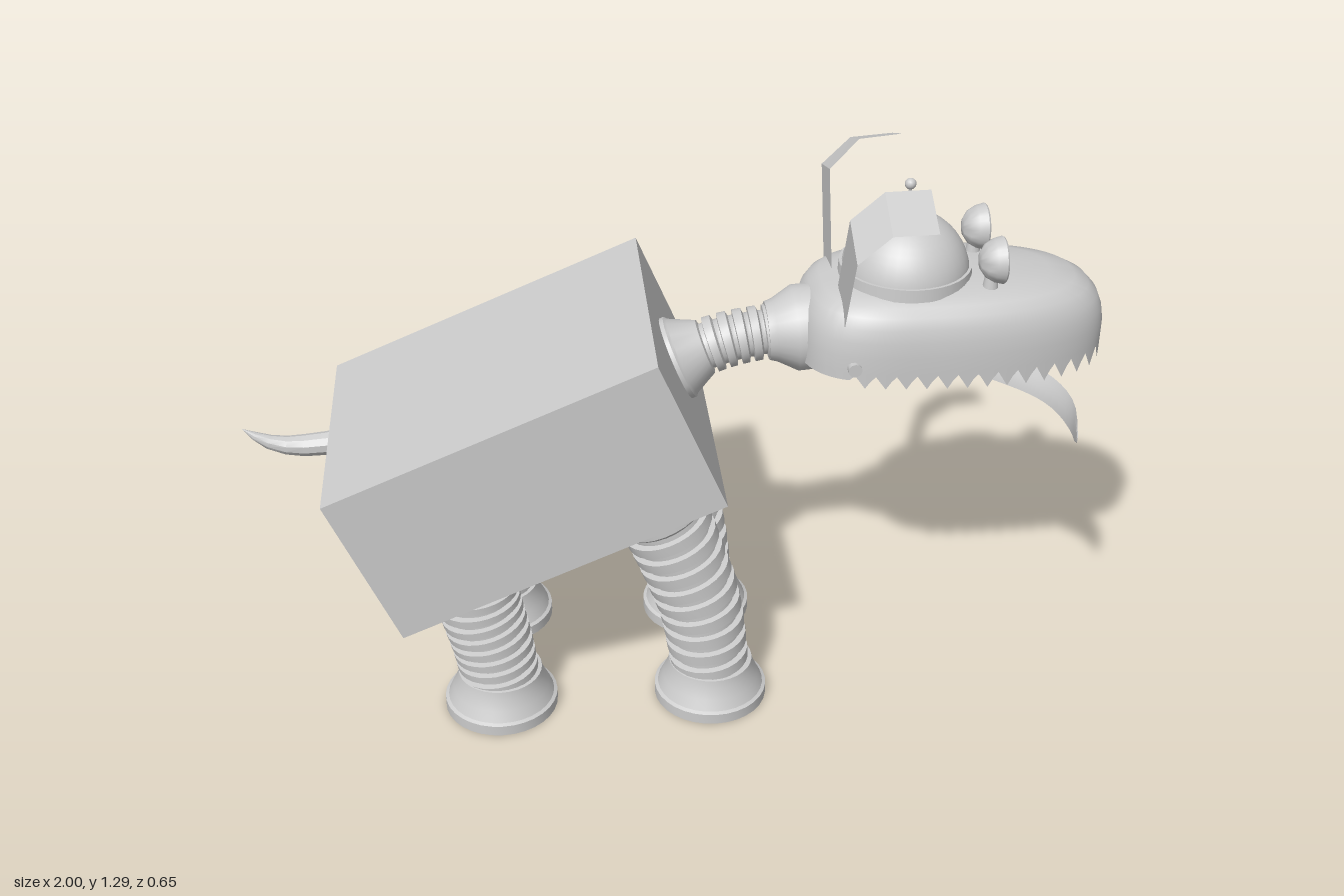
import * as THREE from 'three';
import { toCreasedNormals } from 'three/addons/utils/BufferGeometryUtils.js';

const V = (x, y, z = 0) => new THREE.Vector3(x, y, z);
const solid = new THREE.MeshStandardMaterial({ color: 0xcccccc });
const sheet = new THREE.MeshStandardMaterial({ color: 0xcccccc, side: THREE.DoubleSide });

// Skin a list of equally long point rows
function skin(rows, crease = 0.6) {
  const n = rows[0].length, index = [];
  for (let i = 0; i < rows.length - 1; i++) {
    for (let j = 0; j < n - 1; j++) {
      const a = i * n + j, b = a + n;
      index.push(a, a + 1, b, a + 1, b + 1, b);
    }
  }
  const g = new THREE.BufferGeometry().setFromPoints(rows.flat());
  g.setIndex(index);
  return toCreasedNormals(g, crease);
}

// Round sections along a path in the xy plane; profile is [t, radius] pairs
function loft(points, profile, sides = 28) {
  const curve = new THREE.CatmullRomCurve3(points);
  return skin(profile.map(([t, r]) => {
    const c = curve.getPointAt(t), d = curve.getTangentAt(t);
    return Array.from({ length: sides + 1 }, (_, j) => {
      const a = (j / sides) * Math.PI * 2;
      return V(c.x - d.y * r * Math.cos(a), c.y + d.x * r * Math.cos(a), c.z + r * Math.sin(a));
    });
  }));
}

// Stepped bands of a flexible hose
function bands(count, t0, t1, r0, r1, groove) {
  const out = [];
  const step = (t1 - t0) / count;
  for (let i = 0; i < count; i++) {
    const t = t0 + i * step, r = r0 + (r1 - r0) * (i / count);
    out.push([t, r - groove], [t + step * 0.25, r - groove], [t + step * 0.3, r],
      [t + step * 0.85, r * 0.99], [t + step * 0.97, r - groove]);
  }
  return out;
}

export function createModel() {
  const model = new THREE.Group();
  const add = (name, geometry, pos = [0, 0, 0], material = solid, parent = model) => {
    const mesh = new THREE.Mesh(geometry, material);
    mesh.name = name;
    mesh.position.set(...pos);
    parent.add(mesh);
    return mesh;
  };

  // Tilted box body
  add('body', new THREE.BoxGeometry(0.805, 0.395, 0.64), [-0.355, 0.64, -0.005]).rotation.z = 0.402;

  // Hose legs with flared feet
  const footGeo = toCreasedNormals(new THREE.LatheGeometry([[0, 0], [0.135, 0], [0.135, 0.026], [0.127, 0.03],
    [0.115, 0.055], [0.104, 0.08], [0.1, 0.1], [0.07, 0.105]].map(p => new THREE.Vector2(...p)), 32), 0.5);
  const legs = [
    { name: 'frontLeg', foot: 0.072, zs: [0.187, -0.163], count: 9, r: 0.105,
      path: [V(-0.055, 0.55), V(-0.005, 0.42), V(0.045, 0.26), V(0.072, 0.08)] },
    { name: 'rearLeg', foot: -0.435, zs: [0.183, -0.175], count: 8, r: 0.1,
      path: [V(-0.485, 0.38), V(-0.475, 0.3), V(-0.45, 0.18), V(-0.435, 0.08)] },
  ];
  for (const { name, foot, zs, count, r, path } of legs) {
    const hose = loft(path, [[0, r + 0.01], [0.04, r + 0.01], [0.06, r],
      ...bands(count, 0.08, 0.98, r, 0.094, 0.014), [1, 0.085]]);
    for (const z of zs) {
      const leg = new THREE.Group();
      leg.name = name;
      leg.position.z = z;
      model.add(leg);
      add(name + 'Hose', hose, [0, 0, 0], sheet, leg);
      add(name + 'Foot', footGeo, [foot, 0, 0], solid, leg);
    }
  }

  // Neck: flared base, hose and collar
  const zc = -0.01;
  add('neck', loft([V(-0.005, 0.813), V(0.085, 0.85), V(0.15, 0.868), V(0.27, 0.885)],
    [[0, 0.1], [0.08, 0.1], [0.1, 0.093], [0.3, 0.065], ...bands(6, 0.31, 0.99, 0.066, 0.062, 0.012)]),
    [0, 0, zc], sheet);
  add('collar', loft([V(0.215, 0.88), V(0.345, 0.89)],
    [[0, 0.001], [0.01, 0.068], [0.15, 0.074], [0.5, 0.1], [0.98, 0.1], [1, 0.001]]), [0, 0, zc], sheet);

  // Head shell: plan outline stacked in layers, open below, toothed rim
  const outline = new THREE.CatmullRomCurve3(Array.from({ length: 64 }, (_, i) => {
    const a = (i / 64) * Math.PI * 2, c = Math.cos(a), s = Math.sin(a), n = c > 0 ? 2.4 : 3;
    return V(0.55 + (c > 0 ? 0.447 : 0.265) * Math.sign(c) * Math.abs(c) ** (2 / n), 0,
      -0.2 * Math.sign(s) * Math.abs(s) ** (2 / n));
  }), true).getSpacedPoints(160);
  const layer = (y, s) => outline.map(p => V(0.58 + (p.x - 0.58) * s, y, p.z * s));
  const teeth = outline.map((p, i) => V(p.x, p.x < 0.38 ? 0.842 :
    0.855 - [0, 0.5, 1, 0.4][i % 4] * (0.03 + 0.02 * (p.x - 0.38)) - 0.012 * Math.max(0, p.x - 0.5), p.z));
  add('headShell', skin([teeth, layer(0.86, 1), layer(0.9, 1), layer(0.935, 0.985), layer(0.965, 0.955),
    layer(0.99, 0.9), layer(1.008, 0.82), layer(1.02, 0.68), layer(1.028, 0.45), layer(1.03, 0)], 0.8),
    [0, 0, zc], sheet);
  for (const s of [1, -1]) {
    add('jawBolt', new THREE.CylinderGeometry(0.016, 0.016, 0.03, 12), [0.39, 0.873, zc + s * 0.18]).rotation.x = Math.PI / 2;
  }

  // Round skull with base ring
  add('skull', new THREE.SphereGeometry(0.147, 36, 24), [0.53, 1.018, zc]);
  add('skullRing', new THREE.CylinderGeometry(0.151, 0.153, 0.03, 36), [0.53, 1.03, zc]);

  // Antenna
  add('antennaStem', new THREE.CylinderGeometry(0.004, 0.005, 0.08, 10), [0.53, 1.195, zc]);
  add('antennaFoot', new THREE.CylinderGeometry(0.008, 0.014, 0.015, 16), [0.53, 1.168, zc]);
  add('antennaLargeDisc', new THREE.CylinderGeometry(0.029, 0.029, 0.004, 20), [0.53, 1.19, zc]);
  add('antennaSmallDisc', new THREE.CylinderGeometry(0.016, 0.016, 0.004, 20), [0.53, 1.208, zc]);
  add('antennaBall', new THREE.SphereGeometry(0.013, 14, 10), [0.53, 1.235, zc]);

  // Half-round eyes with rimmed flat faces
  const eyeGeo = toCreasedNormals(new THREE.LatheGeometry([[0, -0.053], [0.02, -0.05], [0.038, -0.038], [0.049, -0.02],
    [0.054, 0], [0.051, 0.004], [0.043, 0.004], [0.041, -0.004], [0, -0.004]].map(p => new THREE.Vector2(...p)), 28), 0.6);
  for (const z of [0.09, -0.087]) {
    add('eye', eyeGeo, [0.727, 1.087, z], sheet).rotation.z = -Math.PI / 2;
    add('eyeStem', new THREE.CylinderGeometry(0.013, 0.02, 0.05, 14), [0.705, 1.03, z]);
  }

  // Folded sheet ears, each row an outer and an inner corner
  add('leftEar', skin([
    [V(0.367, 0.965, 0.153), V(0.367, 1.02, 0.047)], [V(0.367, 1.17, 0.255), V(0.367, 1.225, 0.147)],
    [V(0.44, 1.233, 0.255), V(0.44, 1.288, 0.147)], [V(0.54, 1.235, 0.255), V(0.54, 1.29, 0.147)],
  ], 0.2), [0, 0, 0], sheet);
  add('rightEar', skin([
    [V(0.367, 0.965, -0.14), V(0.367, 1.0, -0.035)], [V(0.367, 1.195, -0.23), V(0.367, 1.228, -0.122)],
    [V(0.44, 1.24, -0.275), V(0.44, 1.28, -0.167)], [V(0.54, 1.245, -0.28), V(0.54, 1.288, -0.17)],
  ], 0.2), [0, 0, 0], sheet);

  // Hanging tongue: a slightly cupped strip that rounds off at the tip
  const path = new THREE.CatmullRomCurve3([V(0.35, 0.853, -0.03), V(0.55, 0.822, -0.01), V(0.74, 0.785, 0.045),
    V(0.86, 0.75, 0.11), V(0.91, 0.7, 0.147), V(0.925, 0.645, 0.165)]);
  add('tongue', skin(Array.from({ length: 33 }, (_, i) => {
    const t = i / 32, c = path.getPointAt(t);
    const w = 0.056 * Math.sqrt(1 - Math.max(0, (t - 0.88) / 0.12) ** 2 * 0.96);
    return [-1, -0.5, 0, 0.5, 1].map(k =>
      V(c.x - 0.35 * w * k * t, c.y + 0.008 * k * k - 0.15 * w * k, c.z + w * k * 0.95));
  }), 1.2), [0, 0, 0], sheet);

  // Curved tail tapering to a point
  add('tail', loft([V(-0.74, 0.645), V(-0.82, 0.633), V(-0.9, 0.633), V(-0.95, 0.648), V(-1, 0.682)],
    [[0, 0.03], [0.25, 0.028], [0.45, 0.026], [0.6, 0.022], [0.75, 0.017], [0.88, 0.01], [1, 0.0005]], 10),
    [0, 0, -0.01], sheet);

  return model;
}
